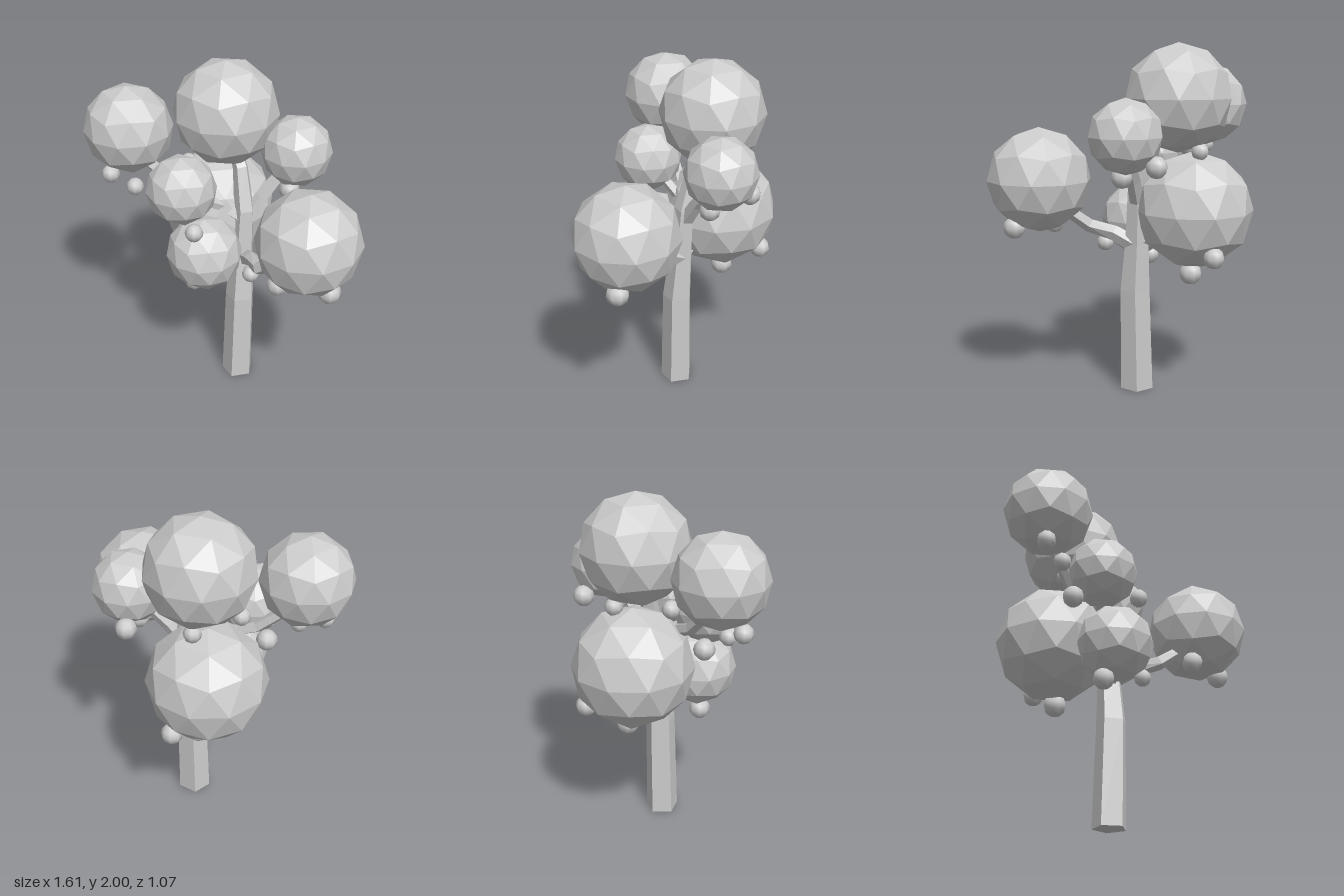
import * as THREE from 'three';

const woodMat = new THREE.MeshStandardMaterial({ color: 0xcccccc, flatShading: true });
const leafMat = new THREE.MeshStandardMaterial({ color: 0xcccccc, flatShading: true });
const fruitMat = new THREE.MeshStandardMaterial({ color: 0xcccccc });

// Tapered faceted limb: rings of `sides` corners along a path of [x, y, z, radius]
function limb(name, path, sides = 5) {
  const points = path.map(p => new THREE.Vector3(p[0], p[1], p[2]));
  const pos = [], index = [];
  const last = points.length - 1;
  points.forEach((p, i) => {
    const dir = points[Math.min(i + 1, last)].clone().sub(points[Math.max(i - 1, 0)]).normalize();
    if (i === 0 && p.y === 0) dir.set(0, 1, 0); // flat foot on the ground
    const turn = new THREE.Quaternion().setFromUnitVectors(new THREE.Vector3(0, 1, 0), dir);
    for (let k = 0; k < sides; k++) {
      const a = (k / sides) * Math.PI * 2 + 0.35;
      const v = new THREE.Vector3(Math.sin(a), 0, Math.cos(a)).multiplyScalar(path[i][3]);
      pos.push(...v.applyQuaternion(turn).add(p).toArray());
      if (i < last) {
        const b = i * sides + k, c = i * sides + ((k + 1) % sides);
        index.push(b, c, c + sides, b, c + sides, b + sides);
      }
    }
  });
  // End caps
  for (let k = 1; k < sides - 1; k++) {
    const t = last * sides;
    index.push(0, k + 1, k, t, t + k, t + k + 1);
  }
  const geo = new THREE.BufferGeometry();
  geo.setAttribute('position', new THREE.Float32BufferAttribute(pos, 3));
  geo.setIndex(index);
  geo.computeVertexNormals();
  const mesh = new THREE.Mesh(geo, woodMat);
  mesh.name = name;
  return mesh;
}

// Faceted ball with a corner pointing straight up
function foliage([x, y, z, r, yaw]) {
  const geo = new THREE.IcosahedronGeometry(r, 1);
  geo.rotateZ(Math.atan(2 / (1 + Math.sqrt(5))));
  geo.rotateY(Math.PI + THREE.MathUtils.degToRad(yaw));
  const mesh = new THREE.Mesh(geo, leafMat);
  mesh.position.set(x, y, z);
  mesh.name = 'foliageBall';
  return mesh;
}

function fruit([x, y, z, r]) {
  const mesh = new THREE.Mesh(new THREE.SphereGeometry(r, 8, 6), fruitMat);
  mesh.position.set(x, y, z);
  mesh.name = 'fruit';
  return mesh;
}

export function createModel() {
  const tree = new THREE.Group();
  tree.name = 'tree';

  // Trunk and branches
  tree.add(
    limb('trunk', [[-0.04, 0, -0.03, 0.097], [-0.025, 0.6, -0.04, 0.088], [-0.03, 0.88, -0.06, 0.07],
      [-0.03, 1.18, -0.08, 0.06], [-0.09, 1.42, -0.11, 0.045], [-0.2, 1.6, -0.14, 0.035]]),
    limb('leftBranch', [[-0.03, 0.86, -0.07, 0.05], [0.09, 0.93, -0.01, 0.045],
      [0.22, 0.97, 0.07, 0.042], [0.42, 1.12, 0.04, 0.032]]),
    limb('backBranch', [[-0.03, 1.1, -0.08, 0.045], [0.02, 1.25, -0.17, 0.04], [0.1, 1.44, -0.31, 0.03]]),
    limb('rightBranch', [[-0.03, 1.12, -0.08, 0.045], [-0.2, 1.23, 0.02, 0.04],
      [-0.37, 1.31, 0.14, 0.036], [-0.53, 1.48, 0.25, 0.028]]),
    limb('frontUpperBranch', [[-0.12, 1.18, -0.03, 0.035], [-0.17, 1.26, 0.1, 0.03], [-0.21, 1.36, 0.22, 0.025]]),
    limb('frontLowerBranch', [[-0.03, 0.82, -0.05, 0.04], [-0.06, 0.9, 0.06, 0.035], [-0.1, 0.98, 0.16, 0.03]]),
    limb('backRightBranch', [[-0.03, 0.86, -0.06, 0.045], [-0.14, 0.95, -0.1, 0.04], [-0.3, 1.05, -0.16, 0.03]])
  );

  // Foliage balls: x, y, z, radius, yaw in degrees
  const crown = new THREE.Group();
  crown.name = 'crown';
  [
    [-0.24, 1.698, -0.15, 0.302, 18],
    [-0.565, 1.643, 0.285, 0.248, 0],
    [-0.335, 1.072, -0.17, 0.335, 0],
    [0.515, 1.25, 0.01, 0.292, 18],
    [0.115, 1.508, -0.347, 0.203, 18],
    [-0.21, 1.372, 0.235, 0.197, 0],
    [-0.105, 0.978, 0.175, 0.217, 0],
  ].forEach(b => crown.add(foliage(b)));
  tree.add(crown);

  // Hanging fruit: x, y, z, radius
  const fruits = new THREE.Group();
  fruits.name = 'fruits';
  [
    [-0.61, 1.385, 0.4, 0.052], [-0.49, 1.32, 0.33, 0.05],
    [-0.375, 1.195, 0.21, 0.06], [-0.03, 1.21, 0.32, 0.051],
    [0.12, 1.285, -0.29, 0.06], [0.41, 0.985, 0.13, 0.06],
    [0.66, 0.99, -0.005, 0.064], [0.13, 0.87, 0.04, 0.05],
    [-0.305, 0.715, -0.205, 0.066], [-0.18, 0.75, 0.19, 0.06],
    [-0.02, 1.355, -0.465, 0.06], [-0.36, 0.845, -0.425, 0.06],
    [-0.33, 1.41, -0.265, 0.05], [-0.36, 1.41, 0.035, 0.05],
  ].forEach(f => fruits.add(fruit(f)));
  tree.add(fruits);

  return tree;
}
